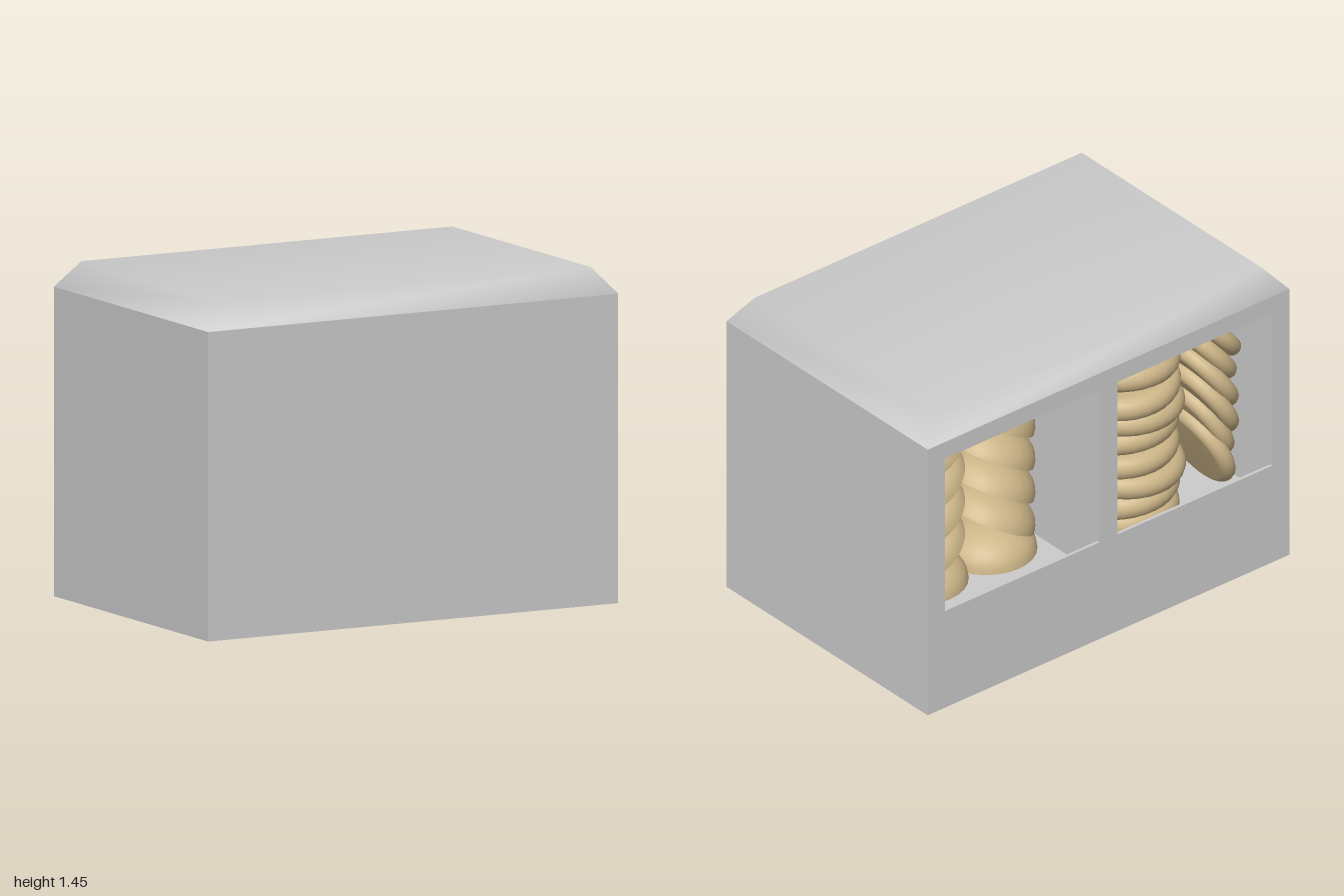
import * as THREE from 'three';
import { mergeVertices } from 'three/addons/utils/BufferGeometryUtils.js';

const grey = new THREE.MeshStandardMaterial({ color: 0xcccccc });
const tan = new THREE.MeshStandardMaterial({ color: 0xccb588, side: THREE.DoubleSide });
const W = 1, H = 1.333, D = 0.667;

function rectangle(Path, x0, y0, x1, y1) {
  const p = new Path();
  p.moveTo(x0, y0); p.lineTo(x1, y0); p.lineTo(x1, y1); p.lineTo(x0, y1);
  p.closePath();
  return p;
}

// Slab across the full cabinet, with a pair of mirrored openings
function slab(name, holeBottom, z0, z1) {
  const shape = rectangle(THREE.Shape, -W, 0, W, H);
  if (holeBottom) {
    shape.holes.push(rectangle(THREE.Path, 0.05, holeBottom, 0.905, 1.25));
    shape.holes.push(rectangle(THREE.Path, -0.905, holeBottom, -0.05, 1.25));
  }
  const geo = new THREE.ExtrudeGeometry(shape, { depth: z1 - z0, bevelEnabled: false });
  const mesh = new THREE.Mesh(geo, grey);
  mesh.position.z = z0;
  mesh.name = name;
  return mesh;
}

// Lid: a shallow frustum with smooth normals and no underside
function makeLid() {
  const geo = new THREE.BoxGeometry(2 * W, 0.112, 2 * D);
  const p = geo.attributes.position;
  for (let i = 0; i < p.count; i++) {
    if (p.getY(i) > 0) p.setXYZ(i, Math.sign(p.getX(i)) * 0.905, p.getY(i), Math.sign(p.getZ(i)) * 0.597);
  }
  geo.setIndex(Array.from(geo.index.array).filter((_, i) => i < 18 || i > 23));
  geo.clearGroups();
  geo.deleteAttribute('normal');
  geo.deleteAttribute('uv');
  const smooth = mergeVertices(geo);
  smooth.computeVertexNormals();
  const lid = new THREE.Mesh(smooth, grey);
  lid.position.y = H + 0.056;
  lid.name = 'lid';
  return lid;
}

// Flat-bottomed dome, standing on y = 0
function domeGeometry(r, h) {
  const pts = [new THREE.Vector2(0, 0), new THREE.Vector2(r, 0)];
  for (let i = 0; i <= 8; i++) {
    const a = (i / 8) * Math.PI / 2;
    pts.push(new THREE.Vector2(r * Math.cos(a), h * Math.sin(a)));
  }
  return new THREE.LatheGeometry(pts, 28);
}

// Disc with a rounded rim, centred on the origin
function discGeometry(r, t) {
  const pts = [new THREE.Vector2(0, -t / 2)];
  for (let i = 0; i <= 8; i++) {
    const a = -Math.PI / 2 + (i / 8) * Math.PI;
    pts.push(new THREE.Vector2(r - t / 2 + Math.cos(a) * t / 2, Math.sin(a) * t / 2));
  }
  pts.push(new THREE.Vector2(0, t / 2));
  return new THREE.LatheGeometry(pts, 32);
}

function stack(name, geo, count, place) {
  const g = new THREE.Group();
  g.name = name;
  for (let i = 0; i < count; i++) {
    const m = new THREE.Mesh(geo, tan);
    m.name = 'piece';
    place(m, i);
    g.add(m);
  }
  return g;
}

export function createModel() {
  const model = new THREE.Group();
  const floor = 0.32;

  // Cabinet: closed front, hollow middle with divider, thin back panel
  model.add(
    slab('frontPanel', 0, 0.572, D),
    slab('cabinetShell', floor, -D + 0.015, 0.572),
    slab('backPanel', 0.485, -D, -D + 0.015),
    makeLid()
  );

  // Two columns of domes leaning together, each on an upright one
  const dome = domeGeometry(0.22, 0.15);
  for (const s of [1, -1]) {
    model.add(stack(s > 0 ? 'leftDomes' : 'rightDomes', dome, 5, (m, i) => {
      m.position.set(0.48 + s * 0.19, floor + 0.01 + i * 0.165, -0.2);
      m.rotation.z = i ? -s * 0.5 : 0;
    }));
  }

  // Column of rounded discs, slightly uneven
  model.add(stack('discColumn', discGeometry(0.27, 0.115), 8, (m, i) => {
    m.position.set(-0.335 + 0.012 * Math.sin(i * 2.3), floor + 0.06 + i * 0.103, -0.33 + 0.015 * Math.cos(i * 1.7));
    m.rotation.set(0.05 * Math.sin(i * 1.9), 0, 0.05 * Math.cos(i * 2.7));
  }));

  // Steeply leaning discs beside the column
  model.add(stack('leaningDiscs', discGeometry(0.22, 0.08), 6, (m, i) => {
    m.position.set(-0.74, floor + 0.21 + i * 0.12, -0.36 + 0.015 * Math.sin(i * 2));
    m.rotation.z = 1.15 - i * 0.06;
  }));

  return model;
}
